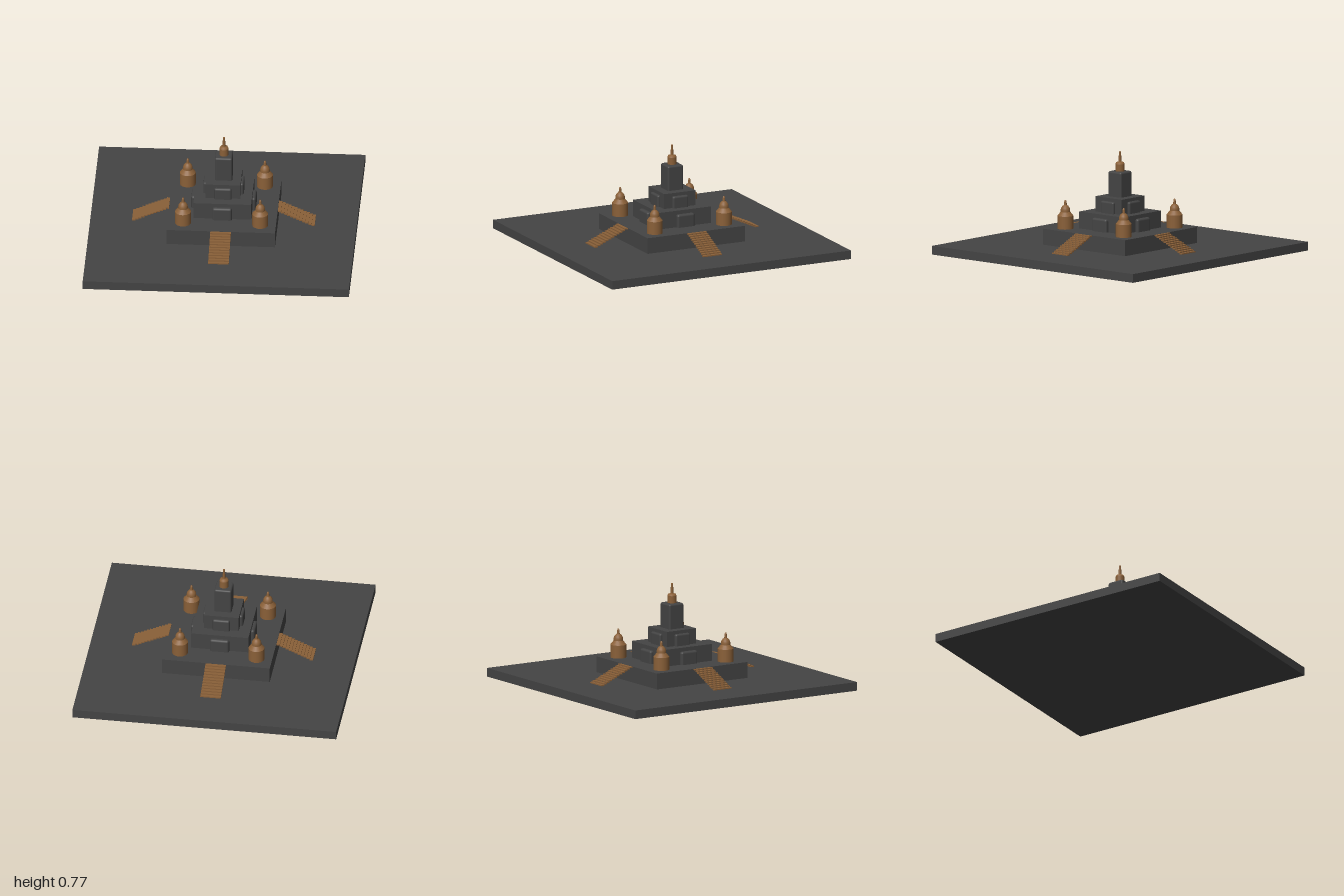
import * as THREE from 'three';
import { RoundedBoxGeometry } from 'three/addons/geometries/RoundedBoxGeometry.js';

export function createModel() {
  const model = new THREE.Group();
  const stone = new THREE.MeshStandardMaterial({ color: 0x444444 });
  stone.name = 'dark stone';
  const bronze = new THREE.MeshStandardMaterial({ color: 0x8a6038 });
  bronze.name = 'brown bronze';

  const add = (parent, name, geometry, material, x = 0, y = 0, z = 0) => {
    const mesh = new THREE.Mesh(geometry, material);
    mesh.name = name;
    mesh.position.set(x, y, z);
    parent.add(mesh);
    return mesh;
  };
  // Square block from its width and its bottom and top heights
  const block = (name, width, y0, y1) =>
    add(model, name, new THREE.BoxGeometry(width, y1 - y0, width), stone, 0, (y0 + y1) / 2, 0);
  // Turned shape; each profile run is a separate lathe so its edges stay sharp
  const turned = (parent, name, runs) => runs.forEach((run) => add(parent, name,
    new THREE.LatheGeometry(run.map(([r, y]) => new THREE.Vector2(r, y)), 20), bronze));

  // Stepped terraces
  block('groundSlab', 2, 0, 0.066);
  block('lowerTerrace', 0.816, 0.066, 0.187);
  block('middleTerrace', 0.434, 0.187, 0.315);
  block('upperTerrace', 0.262, 0.315, 0.43);

  // Tower with softened edges
  add(model, 'tower', new RoundedBoxGeometry(0.13, 0.215, 0.13, 3, 0.014), stone, 0, 0.5125, 0);

  // Stair and blind doorways, repeated on four sides
  const steps = 12;
  const rise = 0.121 / steps, run = 0.275 / steps;
  for (let side = 0; side < 4; side++) {
    const face = new THREE.Group();
    face.name = 'sideFace';
    face.rotation.y = side * Math.PI / 2;
    model.add(face);
    for (let i = 0; i < steps; i++) {
      add(face, 'stairStep', new THREE.BoxGeometry(0.155, rise * 0.9, run * 1.1), bronze,
        0, 0.066 + (i + 0.5) * rise, 0.685 - (i + 0.5) * run);
    }
    add(face, 'lowerDoorway', new RoundedBoxGeometry(0.145, 0.12, 0.08, 2, 0.016), stone, 0, 0.226, 0.203);
    add(face, 'upperDoorway', new RoundedBoxGeometry(0.13, 0.11, 0.06, 2, 0.014), stone, 0, 0.35, 0.122);
  }

  // Bell shrines on the terrace corners
  for (const x of [-0.29, 0.29]) for (const z of [-0.29, 0.29]) {
    const shrine = new THREE.Group();
    shrine.name = 'cornerShrine';
    shrine.position.set(x, 0.187, z);
    model.add(shrine);
    turned(shrine, 'shrineDrum', [[[0.06, 0], [0.06, 0.098]]]);
    turned(shrine, 'shrineRoof', [[[0.06, 0.098], [0.036, 0.128]]]);
    turned(shrine, 'shrineBell', [[[0.036, 0.128], [0.036, 0.143], [0.032, 0.158], [0.022, 0.172], [0.011, 0.179]]]);
    turned(shrine, 'shrineSpire', [[[0.011, 0.179], [0.009, 0.205]], [[0.009, 0.205], [0.005, 0.217], [0, 0.218]]]);
  }

  // Finial crowning the tower
  const finial = new THREE.Group();
  finial.name = 'towerFinial';
  finial.position.y = 0.62;
  model.add(finial);
  turned(finial, 'finialDrum', [[[0.034, 0], [0.034, 0.054]]]);
  turned(finial, 'finialDome', [[[0.034, 0.054], [0.029, 0.066], [0.01, 0.072]]]);
  turned(finial, 'finialSpire', [[[0.01, 0.072], [0.009, 0.148]], [[0.009, 0.148], [0, 0.15]]]);

  return model;
}
